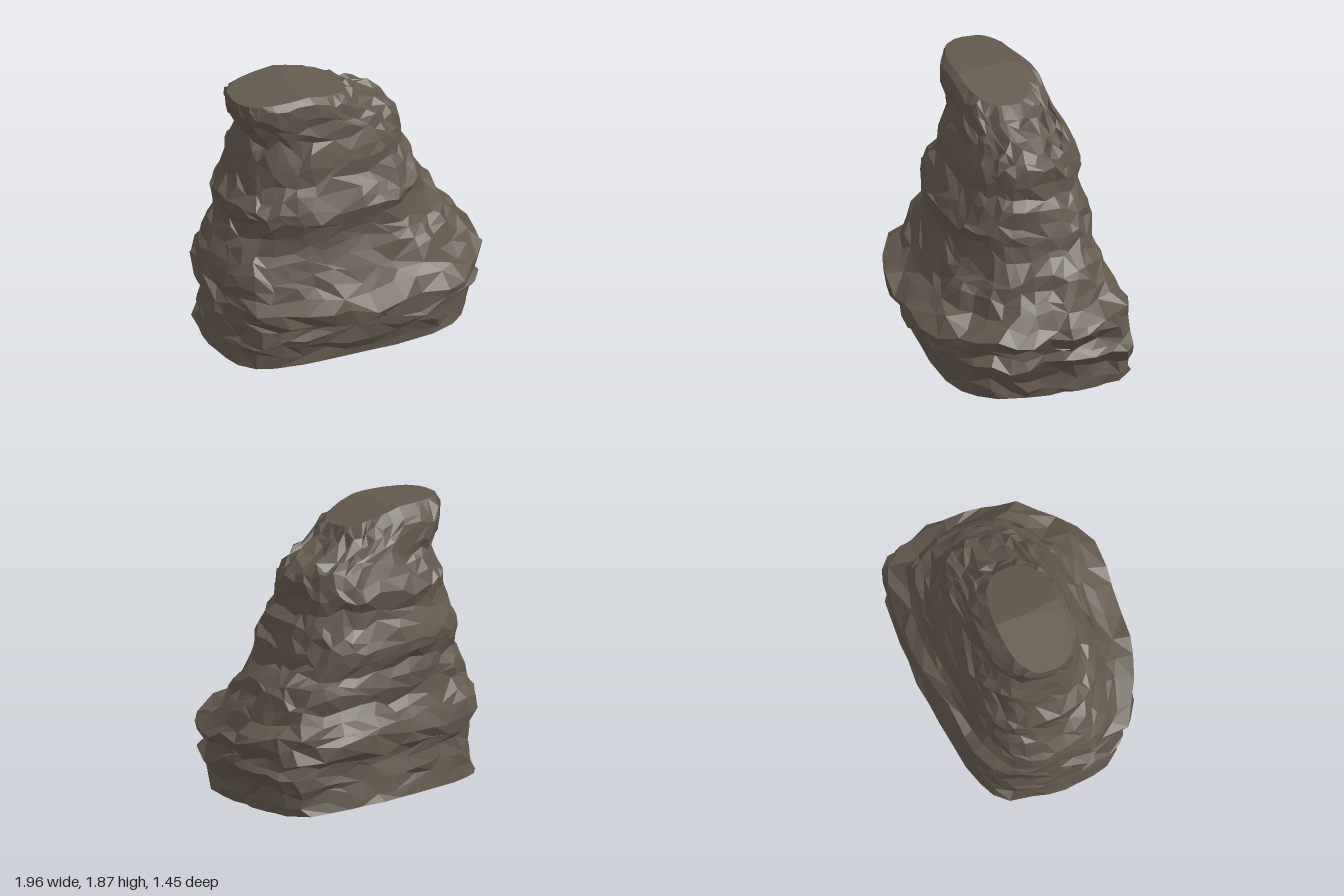
import * as THREE from 'three';

// Strata of the rock: [height, left x, right x, back z, front z]
const LAYERS = [
  [0, -0.94, 0.88, -0.70, 0.54], [0.08, -0.93, 0.89, -0.69, 0.55],
  [0.14, -0.94, 0.89, -0.68, 0.58], [0.20, -0.92, 0.92, -0.70, 0.60],
  [0.26, -0.90, 0.96, -0.69, 0.60], [0.32, -0.91, 0.93, -0.70, 0.60],
  [0.37, -0.94, 0.94, -0.74, 0.74], [0.45, -1.00, 1.00, -0.74, 0.74],
  [0.52, -0.97, 0.96, -0.72, 0.61], [0.58, -0.97, 0.86, -0.64, 0.54],
  [0.65, -0.95, 0.83, -0.60, 0.49], [0.73, -0.92, 0.80, -0.61, 0.44],
  [0.80, -0.87, 0.76, -0.60, 0.40], [0.87, -0.82, 0.65, -0.58, 0.38],
  [0.95, -0.81, 0.61, -0.61, 0.39], [1.03, -0.83, 0.60, -0.62, 0.41],
  [1.10, -0.84, 0.57, -0.60, 0.38], [1.18, -0.77, 0.54, -0.56, 0.33],
  [1.27, -0.74, 0.49, -0.54, 0.28], [1.36, -0.72, 0.48, -0.57, 0.28],
  [1.45, -0.69, 0.47, -0.53, 0.25], [1.54, -0.65, 0.44, -0.49, 0.21],
  [1.60, -0.67, 0.38, -0.46, 0.21], [1.66, -0.73, 0.28, -0.45, 0.19],
  [1.74, -0.76, 0.16, -0.43, 0.20], [1.81, -0.78, 0.12, -0.39, 0.19],
  [1.87, -0.77, 0.06, -0.32, 0.14],
];

// Unit plan outlines of the ground line and the ledge above it, clockwise from above
const GROUND = [
  [-1, -0.2], [-0.92, -0.62], [-0.7, -0.85], [-0.2, -0.95], [0.2, -1], [0.8, -0.97],
  [0.97, -0.88], [1, -0.6], [1, -0.2], [0.98, 0.3], [0.9, 0.65], [0.75, 0.88],
  [0.45, 1], [0, 0.95], [-0.4, 0.88], [-0.7, 0.8], [-0.92, 0.66], [-1, 0.25],
];
const LEDGE = [
  [-1, -0.27], [-0.91, -0.62], [-0.72, -0.84], [-0.2, -0.93], [0.17, -1], [0.7, -0.94],
  [0.88, -0.85], [0.93, -0.66], [1, -0.29], [0.96, 0.19], [0.87, 0.57], [0.7, 0.75],
  [0.5, 1], [0, 0.95], [-0.25, 0.93], [-0.53, 0.81], [-0.78, 0.66], [-0.96, 0.34],
];
const SIDES = 38;

const closedCurve = (points) => new THREE.CatmullRomCurve3(
  points.map(([x, z]) => new THREE.Vector3(x, 0, z)), true, 'catmullrom', 0.3);

function seeded(seed) {
  return () => {
    seed = (seed * 1664525 + 1013904223) >>> 0;
    return seed / 4294967296;
  };
}

// Rounded-box curve used for the plan of the upper strata
const squarish = (v) => Math.sign(v) * Math.pow(Math.abs(v), 2 / 2.6);

// One ragged ring of points; the plan goes from ground line to ledge to rounded box
function makeRing(layer, row, ground, ledge, rand) {
  const [y, x0, x1, z0, z1] = layer;
  const edge = row === 0 || row === LAYERS.length - 1;
  const blend = THREE.MathUtils.smoothstep(y, 0.42, 1.25);
  const tilt = THREE.MathUtils.clamp((y - 1.5) / 0.37, 0, 1);
  const phase = rand() * 6.28;
  const ring = [];
  for (let i = 0; i < SIDES; i++) {
    const t = ((i + (rand() - 0.5) * 0.5 + SIDES) / SIDES) % 1;
    const p = ground.getPointAt(t).lerp(
      ledge.getPointAt(t), THREE.MathUtils.smoothstep(y, 0.25, 0.45));
    const a = Math.atan2(p.z, p.x);
    const u = THREE.MathUtils.lerp(p.x, squarish(Math.cos(a)), blend);
    const w = THREE.MathUtils.lerp(p.z, squarish(Math.sin(a)), blend);
    // Wavy ledges plus broken facets, always cut inward
    const cut = edge ? 0.03 * rand()
      : 0.009 * (1 + Math.sin(3 * a + phase)) + 0.06 * rand() * rand();
    const x = (x0 + x1) / 2 + u * (1 - cut) * (x1 - x0) / 2;
    const z = (z0 + z1) / 2 + w * (1 - cut) * (z1 - z0) / 2;
    const shake = edge ? 0 : (rand() - 0.5) * 0.08;
    const h = y + shake - tilt * Math.max(0, x + 0.32) * 0.27;
    ring.push([x, Math.max(0, h), z]);
  }
  return ring;
}

function geometryFrom(triangles) {
  const g = new THREE.BufferGeometry();
  g.setAttribute('position', new THREE.Float32BufferAttribute(triangles.flat(2), 3));
  g.computeVertexNormals(); // unshared corners give flat facets
  return g;
}

export function createModel() {
  const group = new THREE.Group();
  group.name = 'rock';
  const stone = new THREE.MeshStandardMaterial({ color: 0x63594d });
  stone.name = 'brown grey stone';

  const rand = seeded(11);
  const ground = closedCurve(GROUND);
  const ledge = closedCurve(LEDGE);
  const rings = LAYERS.map((layer, row) => makeRing(layer, row, ground, ledge, rand));

  // Craggy sides, each quad split along a random diagonal
  const sides = [];
  for (let r = 0; r < rings.length - 1; r++) {
    for (let i = 0; i < SIDES; i++) {
      const j = (i + 1) % SIDES;
      const a = rings[r][i], b = rings[r][j], c = rings[r + 1][j], d = rings[r + 1][i];
      if (rand() < 0.5) sides.push([a, d, b], [b, d, c]);
      else sides.push([a, c, b], [a, d, c]);
    }
  }

  // Flat underside and sloping summit
  const base = [];
  const summit = [];
  const top = rings[rings.length - 1];
  for (let i = 0; i < SIDES; i++) {
    const j = (i + 1) % SIDES;
    base.push([[0, 0, -0.08], rings[0][i], rings[0][j]]);
    summit.push([[-0.33, 1.87, -0.1], top[j], top[i]]);
  }

  for (const [name, triangles] of [['craggySides', sides], ['underside', base], ['summit', summit]]) {
    const mesh = new THREE.Mesh(geometryFrom(triangles), stone);
    mesh.name = name;
    group.add(mesh);
  }
  return group;
}
